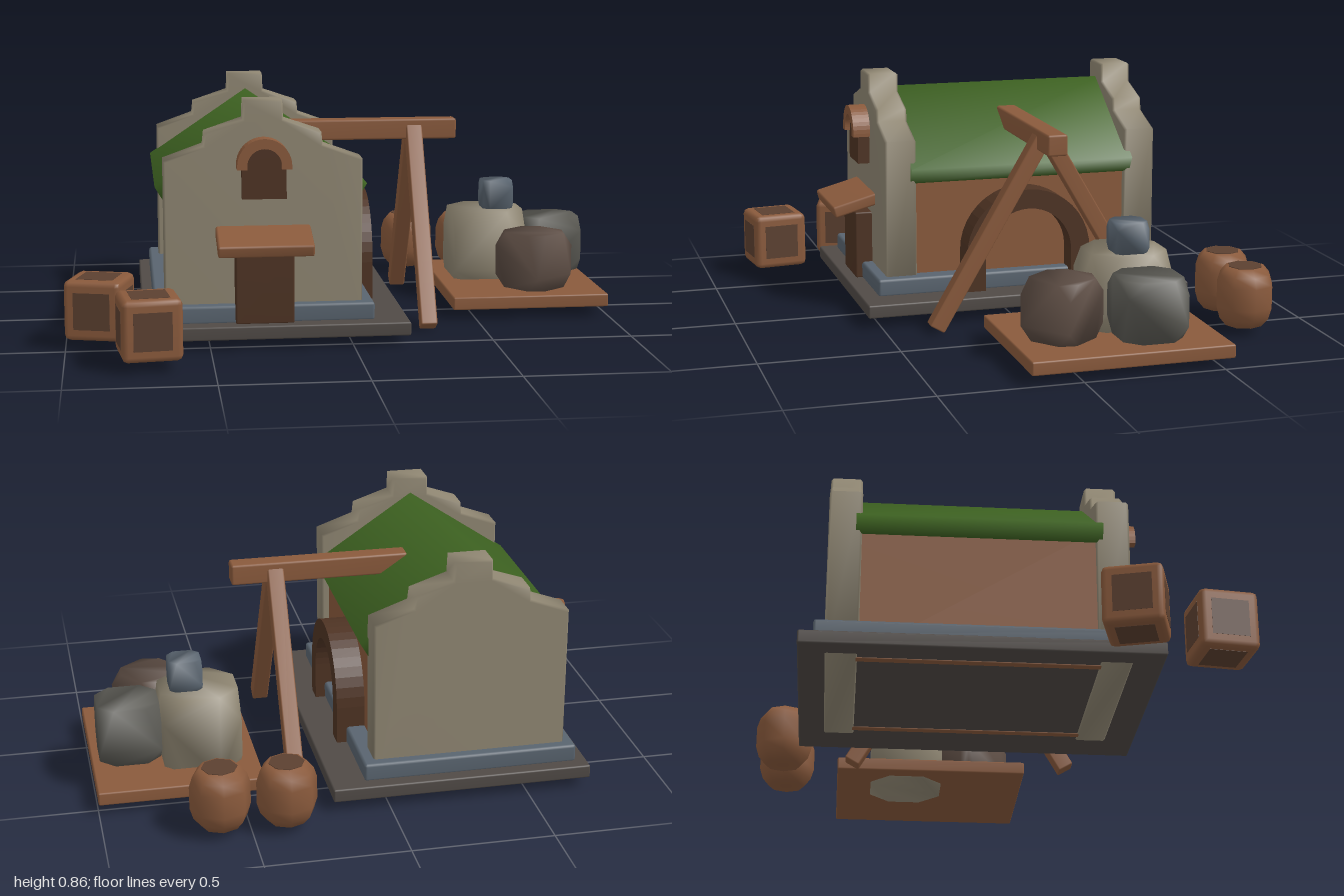
import * as THREE from 'three';
import { mergeVertices } from 'three/addons/utils/BufferGeometryUtils.js';
import { RoundedBoxGeometry } from 'three/addons/geometries/RoundedBoxGeometry.js';
import { ConvexGeometry } from 'three/addons/geometries/ConvexGeometry.js';

const material = color => new THREE.MeshStandardMaterial({ color });
const WOOD = material(0x8a5a3c), DARK_WOOD = material(0x4e3323), PANEL = material(0x5c4030);
const STONE = material(0x8f8672), BLUE = material(0x59646f), SLAB = material(0x504a46);
const GREEN = material(0x3c6020), BROWN_ROCK = material(0x5c4c43), GREY_ROCK = material(0x5a5953);

const RIDGE_X = -0.307, ARCH_Z = -0.08;

// Shared corners give softly shaded faces
function smooth(geometry) {
  geometry.deleteAttribute('uv');
  geometry.deleteAttribute('normal');
  const merged = mergeVertices(geometry, 1e-4);
  merged.computeVertexNormals();
  return merged;
}

const roundedBox = (w, h, d, radius) => smooth(new RoundedBoxGeometry(w, h, d, 1, radius));
const polygon = points => new THREE.Shape(points.map(p => new THREE.Vector2(...p)));
const extrude = (shape, depth) =>
  new THREE.ExtrudeGeometry(shape, { depth, bevelEnabled: false, curveSegments: 10 });

// Half ring on straight legs, its springing line at y = 0
function archShape(outer, inner, leg) {
  const s = new THREE.Shape();
  s.moveTo(outer, -leg);
  s.lineTo(outer, 0);
  s.absarc(0, 0, outer, 0, Math.PI, false);
  s.lineTo(-outer, -leg);
  if (inner > 0) {
    s.lineTo(-inner, -leg);
    s.lineTo(-inner, 0);
    s.absarc(0, 0, inner, Math.PI, 0, true);
    s.lineTo(inner, -leg);
  }
  s.closePath();
  return s;
}

export function createModel() {
  const model = new THREE.Group();

  function add(name, geometry, mat, parent = model) {
    const mesh = new THREE.Mesh(geometry, mat);
    mesh.name = name;
    parent.add(mesh);
    return mesh;
  }

  function group(name, x, y, z, turn) {
    const g = new THREE.Group();
    g.name = name;
    g.position.set(x, y, z);
    g.rotation.y = turn;
    model.add(g);
    return g;
  }

  // Box given by its limits on each axis
  function box(name, [x0, x1], [y0, y1], [z0, z1], mat, radius = 0.006) {
    const mesh = add(name, roundedBox(x1 - x0, y1 - y0, z1 - z0, radius), mat);
    mesh.position.set((x0 + x1) / 2, (y0 + y1) / 2, (z0 + z1) / 2);
    return mesh;
  }

  // Stepped foundation
  box('foundation', [-0.73, 0.2], [0.037, 0.085], [-0.682, 0.547], SLAB);
  box('plinth', [-0.69, 0.08], [0.08, 0.145], [-0.632, 0.483], BLUE, 0.01);

  // Crow-stepped gables
  const half = [[0.347, 0.033], [0.347, 0.65], [0.208, 0.7], [0.203, 0.745], [0.07, 0.79], [0.067, 0.858]];
  const outline = [...half, ...half.map(([x, y]) => [-x, y]).reverse()];
  for (const [name, z] of [['frontGable', 0.328], ['backGable', -0.594]]) {
    const gable = add(name, smooth(new THREE.ExtrudeGeometry(polygon(outline), {
      depth: 0.097, bevelThickness: 0.009, bevelSize: 0.007, bevelOffset: -0.007, bevelSegments: 1,
    })), STONE);
    gable.position.set(RIDGE_X, 0, z + 0.009);
  }

  // Timber side walls
  for (const side of [-1, 1]) {
    const x = RIDGE_X + side * 0.305;
    box(side > 0 ? 'leftWall' : 'rightWall', [x - 0.015, x + 0.015], [0.033, 0.56], [-0.5, 0.35], WOOD, 0.003);
  }

  // Pitched roof with square-cut eaves
  const roof = add('roof', smooth(extrude(polygon([
    [0, 0.8], [-0.375, 0.547], [-0.341, 0.49], [0, 0.722], [0.341, 0.49], [0.375, 0.547],
  ]), 0.85)), GREEN);
  roof.position.set(RIDGE_X, 0, -0.5);

  // Arched side doorway
  const doorway = add('sideArch', extrude(archShape(0.237, 0.165, 0.14), 0.115), DARK_WOOD);
  doorway.rotation.y = Math.PI / 2;
  doorway.position.set(0, 0.222, ARCH_Z);
  const sideDoor = add('sideDoor', extrude(archShape(0.17, 0, 0.14), 0.03), WOOD);
  sideDoor.rotation.y = Math.PI / 2;
  sideDoor.position.set(0, 0.222, ARCH_Z);

  // Front door, awning and arched window
  box('frontDoor', [-0.41, -0.206], [0.083, 0.337], [0.42, 0.507], DARK_WOOD);
  const awning = box('awning', [-0.475, -0.143], [0.357, 0.4], [0.425, 0.602], WOOD, 0.008);
  awning.rotation.x = 0.27;
  const shutter = add('windowShutter', extrude(archShape(0.077, 0, 0.117), 0.06), DARK_WOOD);
  shutter.position.set(RIDGE_X, 0.637, 0.427);
  const brow = add('windowBrow', extrude(archShape(0.095, 0.06, 0.012), 0.08), WOOD);
  brow.position.set(RIDGE_X, 0.637, 0.427);

  // Hoist: a beam on an A-frame
  box('hoistBeam', [-0.19, 0.457], [0.648, 0.724], [-0.117, -0.043], WOOD, 0.008);
  for (const side of [-1, 1]) {
    const leg = add('hoistLeg', roundedBox(0.06, 0.79, 0.06, 0.006), WOOD);
    leg.position.set(0.297, 0.355, ARCH_Z + side * 0.205);
    leg.rotation.x = -side * 0.53;
  }

  // Pallet with a heap of cut stones
  box('pallet', [0.415, 1], [0.037, 0.085], [-0.537, 0.18], WOOD);

  // Stone block: a box with only its corners cut off
  function block(name, size, [x, y, z], turn, mat, cut) {
    const points = [];
    for (const sx of [-1, 1]) for (const sy of [-1, 1]) for (const sz of [-1, 1])
      for (const axis of [0, 1, 2]) {
        const k = [0, 1, 2].map(i => (i === axis ? 0.5 - cut : 0.5) * size[i]);
        points.push(new THREE.Vector3(sx * k[0], sy * k[1], sz * k[2]));
      }
    const mesh = add(name, smooth(new ConvexGeometry(points)), mat);
    mesh.position.set(x, y, z);
    mesh.rotation.y = turn;
  }
  block('largeStone', [0.275, 0.315, 0.272], [0.613, 0.188, -0.27], 0, STONE, 0.28);
  block('smallStone', [0.115, 0.115, 0.115], [0.657, 0.397, -0.27], 0, BLUE, 0.22);
  block('greyStone', [0.218, 0.21, 0.213], [0.865, 0.207, -0.268], 0, GREY_ROCK, 0.24);
  block('brownStone', [0.2, 0.215, 0.205], [0.752, 0.187, -0.002], 0.67, BROWN_ROCK, 0.24);

  // Eight-sided barrels with dark lids
  const stave = [[0, 0.03], [0.068, 0.03], [0.093, 0.06], [0.105, 0.1], [0.105, 0.18],
    [0.093, 0.218], [0.07, 0.245], [0, 0.245]].map(p => new THREE.Vector2(...p));
  for (const [x, z] of [[0.376, -0.743], [0.604, -0.734]]) {
    const barrel = group('barrel', x, 0, z, 0);
    add('barrelStaves', smooth(new THREE.LatheGeometry(stave, 8)), WOOD, barrel);
    add('barrelLid', new THREE.CylinderGeometry(0.062, 0.062, 0.01, 8), PANEL, barrel).position.y = 0.242;
  }

  // Crates with a dark panel on every face
  for (const [x, z, turn] of [[-0.88, 0.418, -0.28], [-0.715, 0.732, 0.12]]) {
    const crate = group('crate', x, 0.143, z, turn);
    add('crateBody', roundedBox(0.204, 0.21, 0.204, 0.02), WOOD, crate);
    for (const size of [[0.206, 0.13, 0.13], [0.13, 0.212, 0.13], [0.13, 0.13, 0.206]])
      add('cratePanel', new THREE.BoxGeometry(...size), PANEL, crate);
  }

  return model;
}
